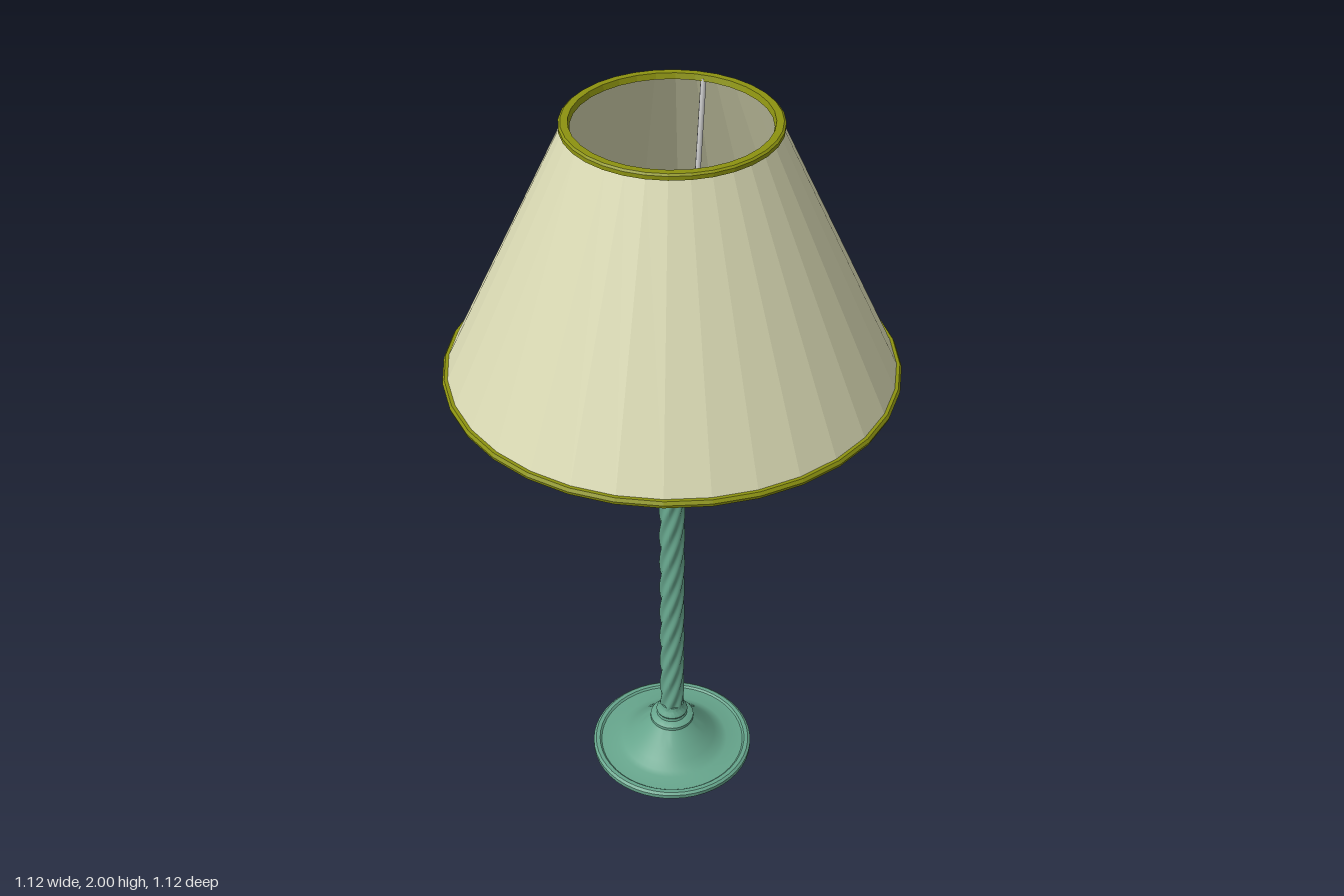
import * as THREE from 'three';
import { toCreasedNormals } from 'three/addons/utils/BufferGeometryUtils.js';

const paint = (color, options = {}) => new THREE.MeshStandardMaterial({ color, ...options });
const teal = paint(0x66a58c);
const olive = paint(0x8c9210);
const oliveFlat = paint(0x8c9210, { flatShading: true });
const cream = paint(0xd9d9b3, { flatShading: true, side: THREE.DoubleSide });
const metal = paint(0xcccccc);

export function createModel() {
  const lamp = new THREE.Group();
  lamp.name = 'tableLamp';

  function add(name, geometry, material) {
    const mesh = new THREE.Mesh(geometry, material);
    mesh.name = name;
    lamp.add(mesh);
    return mesh;
  }

  // Turned part from [radius, height] points, running up the outside
  function turned(name, points, material, sides = 48) {
    const profile = points.map(([r, y]) => new THREE.Vector2(r, y));
    const geometry = new THREE.LatheGeometry(profile, sides);
    return add(name, material.flatShading ? geometry : toCreasedNormals(geometry, 0.6), material);
  }

  // Wide foot with a stepped rim and a concave rise to the column
  turned('base', [
    [0, 0.005], [0.215, 0.005], [0.218, 0.013], [0.226, 0.016], [0.226, 0.028], [0.219, 0.033],
    [0.208, 0.033], [0.203, 0.028], [0.158, 0.03], [0.142, 0.036], [0.122, 0.052], [0.098, 0.077],
    [0.076, 0.1], [0.061, 0.117], [0.061, 0.126], [0.056, 0.13], [0.043, 0.134], [0.041, 0.142],
    [0.044, 0.148], [0.041, 0.155], [0.035, 0.162], [0.033, 0.175], [0, 0.175],
  ], teal);

  // Column with spiral ribs
  const bottom = 0.15, top = 1.1, ribs = 6, pitch = 0.54;
  const column = new THREE.CylinderGeometry(1, 1, top - bottom, 48, 80, true);
  const position = column.attributes.position;
  for (let i = 0; i < position.count; i++) {
    const y = position.getY(i) + (top + bottom) / 2;
    const angle = Math.atan2(position.getX(i), position.getZ(i));
    const wave = Math.cos(ribs * (angle - (y / pitch) * Math.PI * 2));
    const radius = 0.0315 + 0.0028 * wave;
    position.setXYZ(i, Math.sin(angle) * radius, y, Math.cos(angle) * radius);
  }
  column.computeVertexNormals();
  add('twistedColumn', column, teal);

  // Flared cap of the column
  turned('columnCap', [
    [0.03, 1.07], [0.034, 1.085], [0.038, 1.092], [0.038, 1.102], [0.042, 1.112], [0.056, 1.12],
    [0.061, 1.126], [0.061, 1.133], [0.055, 1.138], [0.04, 1.138], [0, 1.138],
  ], teal);

  // Hollow stem between the column and the socket
  turned('stem', [
    [0.018, 1.135], [0.0235, 1.135], [0.0235, 1.285], [0.018, 1.285], [0.018, 1.135],
  ], olive, 24);

  // Bulb socket, open at the top
  turned('socket', [
    [0.018, 1.272], [0.036, 1.272], [0.046, 1.278], [0.053, 1.29], [0.056, 1.31], [0.056, 1.342],
    [0.05, 1.346], [0.05, 1.37], [0.052, 1.374], [0.052, 1.4], [0.046, 1.41], [0.04, 1.41],
    [0.04, 1.3], [0.025, 1.295], [0.018, 1.295], [0.018, 1.272],
  ], metal, 32);
  turned('shadeCollar', [
    [0.048, 1.35], [0.062, 1.35], [0.062, 1.362], [0.048, 1.362], [0.048, 1.35],
  ], metal, 32);

  // Three wire arms: out from the collar, then up to the top rim
  function rod(from, to) {
    const length = from.distanceTo(to);
    const geometry = new THREE.CylinderGeometry(0.007, 0.007, length, 8);
    const direction = to.clone().sub(from).normalize();
    geometry.applyQuaternion(
      new THREE.Quaternion().setFromUnitVectors(new THREE.Vector3(0, 1, 0), direction));
    const middle = from.clone().add(to).multiplyScalar(0.5);
    geometry.translate(middle.x, middle.y, middle.z);
    return geometry;
  }
  const firstArm = Math.atan2(-0.23, 0.02);
  for (let i = 0; i < 3; i++) {
    const angle = firstArm + (i * Math.PI * 2) / 3;
    const at = (r, y) => new THREE.Vector3(Math.cos(angle) * r, y, Math.sin(angle) * r);
    add('armSpoke', rod(at(0.055, 1.356), at(0.13, 1.356)), metal);
    add('armUpright', rod(at(0.127, 1.352), at(0.236, 1.99)), metal);
  }

  // Faceted conical shade and its two trims
  turned('shade', [[0.553, 1.342], [0.245, 1.993]], cream, 32);
  turned('topTrim', [
    [0.23, 1.986], [0.256, 1.986], [0.256, 1.996], [0.251, 2], [0.234, 2], [0.23, 1.986],
  ], oliveFlat, 32);
  turned('bottomTrim', [
    [0.545, 1.335], [0.56, 1.335], [0.562, 1.343], [0.557, 1.351], [0.54, 1.351], [0.545, 1.335],
  ], oliveFlat, 32);

  return lamp;
}
